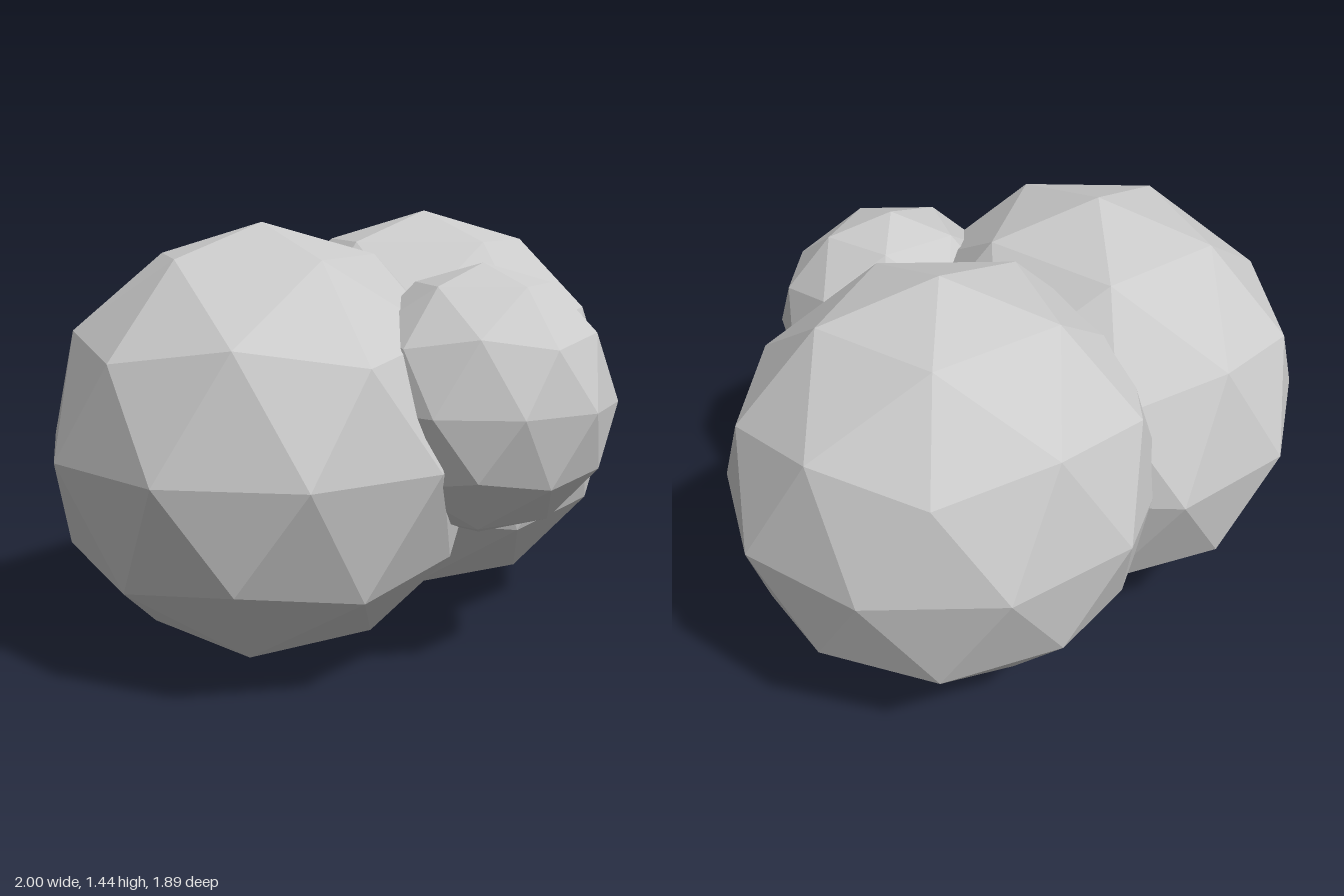
import * as THREE from 'three';

const material = new THREE.MeshStandardMaterial({ color: 0xcccccc, flatShading: true });

// Low-poly ball with a corner at each pole, stretched to the given radii
function ball(name, radii, centre) {
  const geometry = new THREE.IcosahedronGeometry(1, 1);
  const t = (1 + Math.sqrt(5)) / 2;
  geometry.rotateZ(-Math.atan(1 / t)); // stand it on a corner
  geometry.scale(...radii);
  const mesh = new THREE.Mesh(geometry, material);
  mesh.name = name;
  mesh.position.set(...centre);
  return mesh;
}

export function createModel() {
  const group = new THREE.Group();
  group.name = 'lobedClump';
  group.add(
    ball('rightLobe', [0.705, 0.703, 0.805], [-0.33, 0.705, 0.135]),
    ball('leftLobe', [0.705, 0.7, 0.665], [0.33, 0.74, -0.285]),
    ball('smallFrontLobe', [0.423, 0.422, 0.39], [0.293, 0.868, 0.495])
  );
  return group;
}
